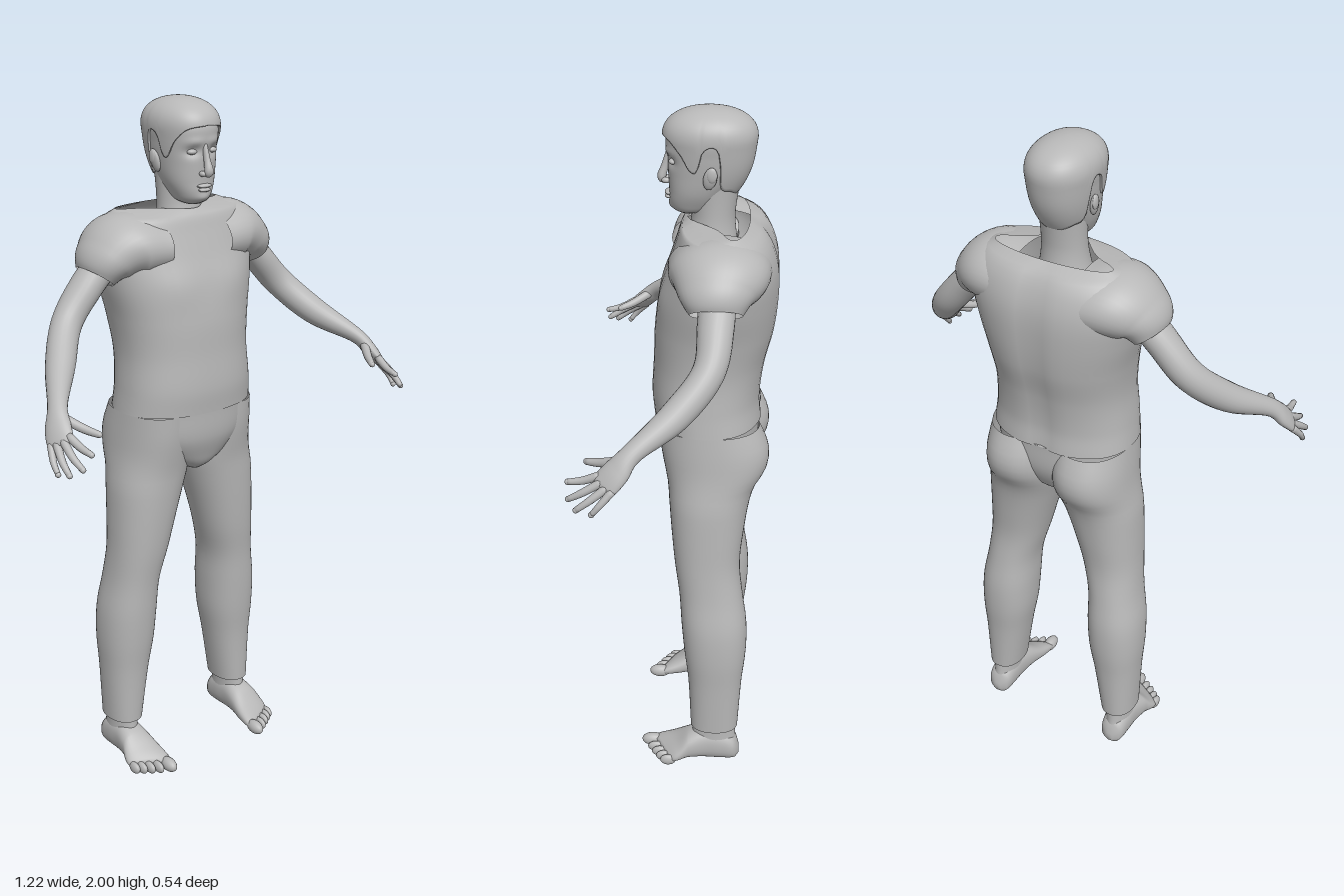
import * as THREE from 'three';

const grey = new THREE.MeshStandardMaterial({ color: 0xb8b8b8, side: THREE.DoubleSide });
grey.name = 'grey';

// Smooth interpolation in a table whose first column is the ascending key
function sample(rows, k) {
  let i = 0;
  while (i < rows.length - 2 && k > rows[i + 1][0]) i++;
  const a = rows[i], b = rows[i + 1], p = rows[i - 1] || a, q = rows[i + 2] || b;
  const h = b[0] - a[0], t = Math.min(1, Math.max(0, (k - a[0]) / h));
  const t2 = t * t, t3 = t2 * t;
  return a.slice(1).map((v, j) => {
    const c = j + 1, ma = (b[c] - p[c]) / (b[0] - p[0]) * h, mb = (q[c] - a[c]) / (q[0] - a[0]) * h;
    return (2 * t3 - 3 * t2 + 1) * v + (t3 - 2 * t2 + t) * ma + (3 * t2 - 2 * t3) * b[c] + (t3 - t2) * mb;
  });
}

// Closed rings of points skinned into a smooth surface, with optional end caps
function skin(nu, nv, f, capped = false) {
  const pos = [], idx = [];
  for (let j = 0; j <= nv; j++) for (let i = 0; i < nu; i++) pos.push(...f(i / nu * Math.PI * 2, j / nv));
  for (let j = 0; j < nv; j++) for (let i = 0; i < nu; i++) {
    const a = j * nu + i, b = j * nu + (i + 1) % nu;
    idx.push(a, a + nu, b, b, a + nu, b + nu);
  }
  if (capped) for (const j of [0, nv]) {
    const c = [0, 0, 0], n = pos.length / 3;
    for (let i = 0; i < nu; i++) for (let k = 0; k < 3; k++) c[k] += pos[(j * nu + i) * 3 + k] / nu;
    pos.push(...c);
    for (let i = 0; i < nu; i++) {
      const a = j * nu + i, b = j * nu + (i + 1) % nu;
      idx.push(n, j ? b : a, j ? a : b);
    }
  }
  const g = new THREE.BufferGeometry();
  g.setAttribute('position', new THREE.Float32BufferAttribute(pos, 3));
  g.setIndex(idx);
  g.computeVertexNormals();
  return g;
}

const pw = (v, n) => Math.sign(v) * Math.abs(v) ** (2 / n);

// Upright form from rows [y, xMin, xMax, zFront, zBack]
function upright(rows, n, capped, shape = p => p, nv = 40) {
  const y0 = rows[0][0], y1 = rows[rows.length - 1][0];
  return skin(48, nv, (a, t) => {
    const y = y0 + (y1 - y0) * t, [l, r, f, b] = sample(rows, y);
    return shape([(l + r) / 2 + (r - l) / 2 * pw(Math.cos(a), n), y, (f + b) / 2 + (f - b) / 2 * pw(Math.sin(a), n)], a, t);
  }, capped);
}
const symmetric = rows => rows.map(([y, w, f, b]) => [y, -w, w, f, b]);

// Limb along rows [x, y, z, radius along ref, other radius]
function limb(rows, ref, capped, nu = 24, nv = 32) {
  const keyed = rows.map((r, i) => [i, ...r]), m = rows.length - 1;
  const at = k => new THREE.Vector3(...sample(keyed, k).slice(0, 3));
  return skin(nu, nv, (a, t) => {
    const k = t * m, s = sample(keyed, k);
    const T = at(Math.min(m, k + 0.05)).sub(at(Math.max(0, k - 0.05))).normalize();
    const S = new THREE.Vector3(...ref).addScaledVector(T, -T.dot(new THREE.Vector3(...ref))).normalize();
    const U = S.clone().cross(T);
    return at(k).addScaledVector(S, s[3] * Math.cos(a)).addScaledVector(U, s[4] * Math.sin(a)).toArray();
  }, capped);
}

function add(parent, name, geometry) {
  const m = new THREE.Mesh(geometry, grey);
  m.name = name;
  parent.add(m);
  return m;
}
function blob(parent, name, p, s) {
  const m = add(parent, name, new THREE.SphereGeometry(1, 20, 14));
  m.position.set(...p);
  m.scale.set(...s);
  return m;
}
const bump = (d, w) => Math.exp(-((d / w) ** 2));

function buildHead(g) {
  add(g, 'neck', upright(symmetric([
    [1.58, 0.09, 0.0, -0.16], [1.66, 0.068, -0.015, -0.145], [1.72, 0.062, -0.025, -0.142], [1.84, 0.065, -0.02, -0.16]]), 2, false));
  // Face and skull, with eye sockets, brow and chin shaped by rule
  add(g, 'head', upright(symmetric([
    [1.715, 0.022, 0.005, -0.035], [1.725, 0.042, 0.022, -0.07], [1.745, 0.055, 0.034, -0.1], [1.78, 0.069, 0.036, -0.125],
    [1.83, 0.079, 0.039, -0.165], [1.88, 0.085, 0.042, -0.182], [1.93, 0.087, 0.042, -0.185], [1.97, 0.062, 0.01, -0.155],
    [1.99, 0.02, -0.05, -0.09]]), 2.25, true, ([x, y, z]) => {
    if (z < -0.03) return [x, y, z];
    const socket = 0.011 * bump(Math.abs(x) - 0.034, 0.02) * bump(y - 1.862, 0.015);
    const brow = 0.005 * bump(Math.abs(x) - 0.032, 0.03) * bump(y - 1.888, 0.012);
    const chin = 0.007 * bump(x, 0.022) * bump(y - 1.733, 0.012);
    return [x, y, z - socket + brow + chin];
  }, 64));
  add(g, 'nose', limb([[0, 1.88, 0.036, 0.007, 0.008], [0, 1.84, 0.047, 0.009, 0.01],
    [0, 1.81, 0.056, 0.013, 0.012], [0, 1.798, 0.048, 0.009, 0.008]], [1, 0, 0], true, 16, 16));
  blob(g, 'upperLip', [0, 1.769, 0.036], [0.024, 0.006, 0.012]);
  blob(g, 'lowerLip', [0, 1.758, 0.036], [0.02, 0.006, 0.012]);
  for (const s of [1, -1]) {
    blob(g, 'nostril', [s * 0.012, 1.803, 0.044], [0.009, 0.008, 0.012]);
    blob(g, 'eye', [s * 0.034, 1.862, 0.024], [0.015, 0.008, 0.012]);
    blob(g, 'ear', [s * 0.084, 1.832, -0.075], [0.009, 0.032, 0.018]).rotation.set(-0.2, 0, -s * 0.15);
    blob(g, 'earRim', [s * 0.09, 1.842, -0.08], [0.006, 0.02, 0.014]);
  }
  // Hair cap: rows run from the hairline to the crown
  const hairline = [[0, 1.932], [35, 1.922], [55, 1.89], [68, 1.85], [77, 1.85], [84, 1.905], [100, 1.905], [110, 1.81],
    [130, 1.79], [180, 1.765]];
  const sides = [[1.76, 0.058, 0.02, -0.138], [1.8, 0.076, 0.04, -0.165], [1.85, 0.087, 0.049, -0.186], [1.92, 0.095, 0.055, -0.198]];
  add(g, 'hair', skin(96, 24, (a, t) => {
    const angle = Math.abs(Math.atan2(Math.cos(a), Math.sin(a))) * 180 / Math.PI;
    const base = sample(hairline, angle)[0];
    const y = base + (2 - base) * Math.sin(Math.max(0, t - 0.06) / 0.94 * Math.PI / 2);
    const [w, f, b] = sample(sides, Math.min(y, 1.92));
    const u = Math.min(1, Math.max(0, (y - 1.92) / 0.08));
    const k = (1 - u ** 2.4) ** 0.48 * (t === 0 ? 0.87 : 1), c = (f + b) / 2;
    return [w * k * pw(Math.cos(a), 2.15), y, c + (f - b) / 2 * k * pw(Math.sin(a), 2.15)];
  }));
}

function buildShirt(g) {
  // Body ends in a wide open collar that leaves gaps beside the neck
  add(g, 'shirtBody', upright(symmetric([
    [1.13, 0.213, 0.079, -0.23], [1.2, 0.206, 0.085, -0.224], [1.3, 0.2, 0.08, -0.235], [1.4, 0.211, 0.076, -0.258],
    [1.5, 0.234, 0.06, -0.268], [1.58, 0.247, 0.036, -0.266], [1.64, 0.242, 0.017, -0.25], [1.68, 0.215, 0.004, -0.225],
    [1.697, 0.19, -0.008, -0.198]]), 2.3, false, ([x, y, z], a, t) => {
    const s = Math.sin(a);
    if (t === 1) return [0.175 * Math.cos(a), 1.7, -0.14 + 0.042 * s + (s > 0 ? 0.085 * s ** 10 : 0)];
    if (s < 0) return [x, y, z + 0.012 * bump(x, 0.035)];
    return [x, y, z + 0.006 * bump(Math.abs(x) - 0.09, 0.06) * bump(y - 1.5, 0.06)];
  }, 56));
}

function buildSide(g) {
  add(g, 'sleeve', limb([[0.1, 1.6, -0.105, 0.14, 0.085], [0.185, 1.602, -0.105, 0.132, 0.092],
    [0.245, 1.572, -0.1, 0.102, 0.073], [0.275, 1.532, -0.1, 0.07, 0.05]], [0, 0, 1], false, 36));

  // Arm and palm in one run, then fingers
  const across = [-0.04, 0.03, 0.04];
  add(g, 'arm', limb([[0.22, 1.59, -0.1, 0.05, 0.046], [0.3, 1.512, -0.1, 0.049, 0.044], [0.38, 1.42, -0.085, 0.043, 0.043],
    [0.455, 1.333, -0.005, 0.041, 0.04], [0.532, 1.267, 0.098, 0.028, 0.023], [0.557, 1.226, 0.137, 0.037, 0.02],
    [0.57, 1.196, 0.165, 0.038, 0.014], [0.575, 1.186, 0.174, 0.028, 0.008]], across, true, 24, 56));
  const fingers = {
    thumb: [[0.54, 1.245, 0.13, 0.014], [0.508, 1.222, 0.182, 0.012], [0.486, 1.212, 0.222, 0.009]],
    indexFinger: [[0.552, 1.21, 0.18, 0.012], [0.545, 1.19, 0.225, 0.0105], [0.54, 1.182, 0.265, 0.008]],
    middleFinger: [[0.565, 1.2, 0.172, 0.012], [0.57, 1.17, 0.222, 0.0105], [0.565, 1.146, 0.262, 0.008]],
    ringFinger: [[0.577, 1.19, 0.16, 0.012], [0.59, 1.157, 0.205, 0.01], [0.592, 1.13, 0.24, 0.008]],
    littleFinger: [[0.586, 1.185, 0.147, 0.011], [0.6, 1.15, 0.178, 0.009], [0.601, 1.123, 0.2, 0.007]],
  };
  for (const [name, rows] of Object.entries(fingers)) {
    const [x, y, z] = rows[2];
    add(g, name, limb(rows.map(r => [...r, r[3]]), across, true, 12, 8));
    blob(g, name + 'Tip', [x, y, z], [0.008, 0.008, 0.008]);
  }

  // Trouser leg, from the hem up to the waist
  add(g, 'trouserLeg', upright([
    [0.13, 0.157, 0.262, -0.037, -0.18], [0.3, 0.13, 0.269, -0.028, -0.19], [0.4, 0.112, 0.275, -0.016, -0.2],
    [0.5, 0.105, 0.272, -0.007, -0.2], [0.6, 0.1, 0.256, 0.0, -0.186], [0.7, 0.075, 0.247, 0.014, -0.176],
    [0.8, 0.048, 0.243, 0.024, -0.185], [0.9, 0.018, 0.238, 0.032, -0.2], [0.95, 0.003, 0.23, 0.036, -0.216],
    [1.0, 0, 0.223, 0.045, -0.245], [1.06, 0, 0.218, 0.055, -0.25], [1.13, 0.003, 0.211, 0.06, -0.222]], 2.2, false));

  // Foot: sections from heel to ball, then toes
  const foot = [[-0.186, 0.2, 0.225, 0.02, 0.05], [-0.175, 0.18, 0.246, 0.008, 0.085], [-0.13, 0.172, 0.254, 0.006, 0.115],
    [-0.08, 0.17, 0.256, 0.008, 0.118], [-0.03, 0.164, 0.264, 0.01, 0.1], [0.02, 0.156, 0.272, 0.008, 0.07],
    [0.06, 0.154, 0.274, 0.008, 0.05], [0.085, 0.16, 0.268, 0.012, 0.036]];
  add(g, 'foot', skin(32, 28, (a, t) => {
    const z = -0.186 + 0.271 * t, [l, r, b, top] = sample(foot, z);
    const x = (l + r) / 2 + (r - l) / 2 * pw(Math.cos(a), 2.3);
    const skew = Math.max(0, z + 0.03) / 0.115 * (x - 0.16) * 0.55;
    return [x, (b + top) / 2 - (top - b) / 2 * pw(Math.sin(a), 2.3), z - skew];
  }, true));
  add(g, 'ankle', upright([[0.05, 0.172, 0.254, -0.03, -0.182], [0.1, 0.174, 0.25, -0.042, -0.174], [0.2, 0.17, 0.25, -0.045, -0.17]], 2, false));
  for (let i = 0; i < 5; i++)
    blob(g, 'toe', [0.172 + [0, 0.031, 0.053, 0.073, 0.091][i], i ? 0.02 : 0.023, 0.084 - i * 0.013],
      i ? [0.0115, 0.018, 0.028 - i * 0.001] : [0.019, 0.021, 0.034]);
}

export function createModel() {
  const model = new THREE.Group();
  model.name = 'standingMan';
  const head = new THREE.Group();
  head.name = 'headGroup';
  buildHead(head);
  buildShirt(model);
  // Seat of the trousers joins the two legs
  add(model, 'trouserSeat', upright(symmetric([
    [0.935, 0.02, 0.005, -0.1], [0.955, 0.07, 0.032, -0.165], [0.99, 0.135, 0.05, -0.195], [1.05, 0.195, 0.07, -0.218],
    [1.135, 0.21, 0.077, -0.222]]), 2.2, true));
  model.add(head);
  for (const s of [1, -1]) {
    const side = new THREE.Group();
    side.name = s > 0 ? 'leftLimbs' : 'rightLimbs';
    buildSide(side);
    side.scale.x = s;
    model.add(side);
  }
  return model;
}
